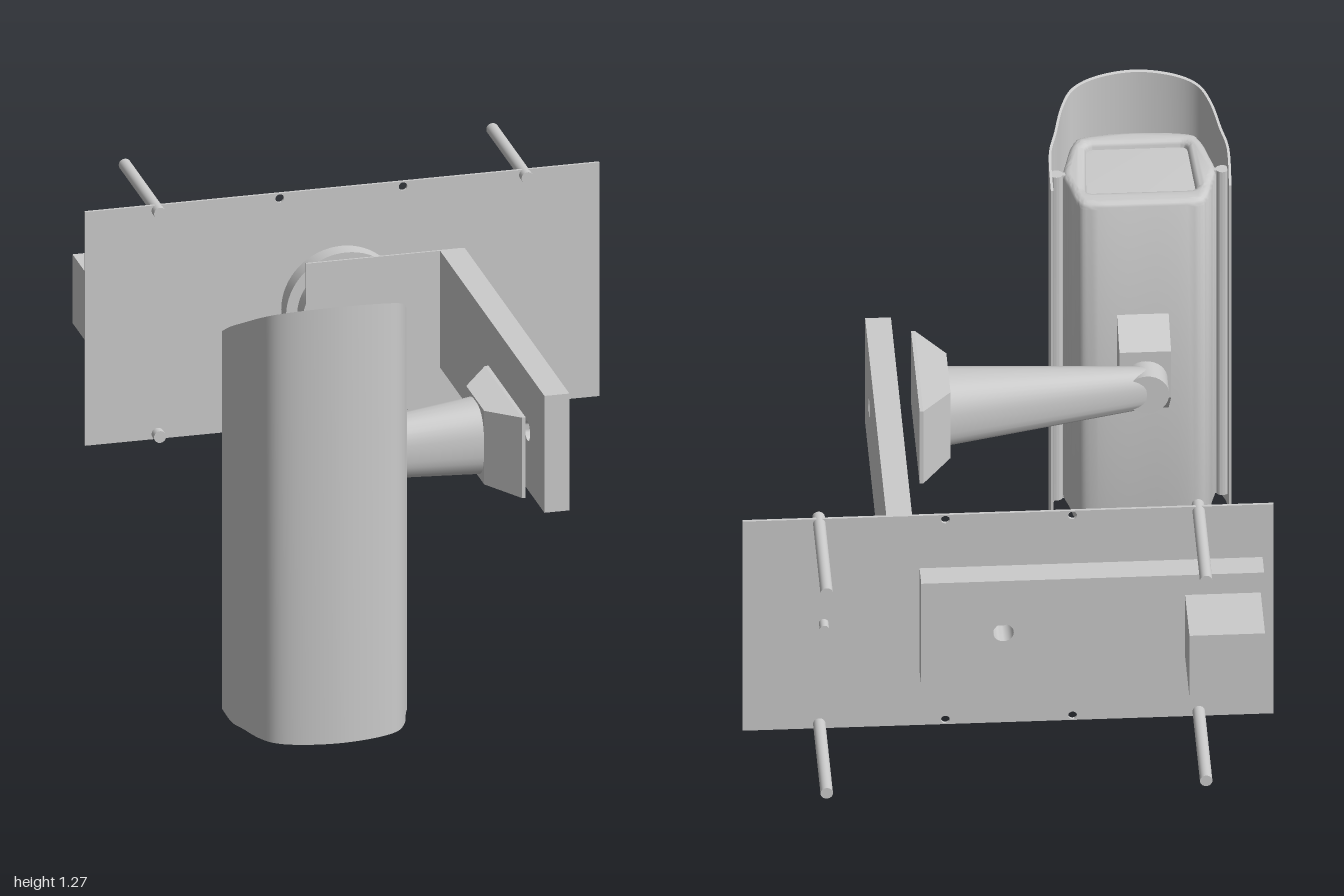
import * as THREE from 'three';
import { toCreasedNormals } from 'three/addons/utils/BufferGeometryUtils.js';

const material = new THREE.MeshStandardMaterial({ color: 0xcccccc, side: THREE.DoubleSide });
const MID_Y = 0.607; // height of the arm axis
const CAM_X = -0.44; // centre line of the camera housing

export function createModel() {
  const model = new THREE.Group();

  const add = (name, geometry, x = 0, y = 0, z = 0) => {
    const mesh = new THREE.Mesh(geometry, material);
    mesh.name = name;
    mesh.position.set(x, y, z);
    model.add(mesh);
    return mesh;
  };
  const smooth = (geometry, angle = 0.6) => toCreasedNormals(geometry, angle);
  const rod = (r, length) => new THREE.CylinderGeometry(r, r, length, 32).rotateX(Math.PI / 2);

  const circlePath = (x, y, r) => new THREE.Path().absarc(x, y, r, 0, Math.PI * 2, true);

  // Flat panel facing z, centred, with round holes [x, y, r]
  const panel = (w, h, d, holes = []) => {
    const shape = new THREE.Shape([
      new THREE.Vector2(-w / 2, -h / 2), new THREE.Vector2(w / 2, -h / 2),
      new THREE.Vector2(w / 2, h / 2), new THREE.Vector2(-w / 2, h / 2),
    ]);
    for (const [x, y, r] of holes) shape.holes.push(circlePath(x, y, r));
    const g = new THREE.ExtrudeGeometry(shape, { depth: d, bevelEnabled: false });
    return smooth(g.translate(0, 0, -d / 2));
  };

  // Disc facing z with a central bore
  const ring = (r, bore, d) => {
    const shape = new THREE.Shape().absarc(0, 0, r, 0, Math.PI * 2, false);
    shape.holes.push(circlePath(0, 0, bore));
    const g = new THREE.ExtrudeGeometry(shape, { depth: d, bevelEnabled: false, curveSegments: 32 });
    return smooth(g.translate(0, 0, -d / 2));
  };

  // Solid through rings of equal length, counter-clockwise about the direction of travel
  const loft = (rings, angle) => {
    const n = rings[0].length;
    const pos = [];
    const tri = (...pts) => pts.forEach((p) => pos.push(...p));
    for (let i = 0; i < rings.length - 1; i++) {
      for (let j = 0; j < n; j++) {
        const k = (j + 1) % n;
        tri(rings[i][j], rings[i][k], rings[i + 1][k]);
        tri(rings[i][j], rings[i + 1][k], rings[i + 1][j]);
      }
    }
    const first = rings[0], last = rings[rings.length - 1];
    for (let j = 1; j < n - 1; j++) {
      tri(first[0], first[j + 1], first[j]);
      tri(last[0], last[j], last[j + 1]);
    }
    const g = new THREE.BufferGeometry();
    g.setAttribute('position', new THREE.Float32BufferAttribute(pos, 3));
    g.computeVertexNormals();
    return smooth(g, angle);
  };

  // Wall plate with four screw holes, four anchor rods and a small stud
  const screwHoles = [];
  for (const x of [-0.175, 0.17]) for (const y of [-0.325, 0.325]) screwHoles.push([x, y, 0.012]);
  add('wallPlate', panel(1.44, 0.68, 0.008, screwHoles), 0, 0.605, -0.655);
  for (const x of [-0.517, 0.512]) {
    for (const y of [0.28, 0.93]) add('anchorRod', rod(0.017, 0.375), x, y, -0.8125);
  }
  add('stud', rod(0.013, 0.035), 0.5, MID_Y, -0.675);

  // Back box and motor block behind the plate
  add('backBox', panel(0.93, 0.335, 0.076, [[0.242, 0, 0.028]]), -0.225, MID_Y, -0.697);
  add('motorBlock', new THREE.BoxGeometry(0.205, 0.2, 0.2), -0.578, 0.61, -0.835);

  // Stepped hub and mounting tab
  add('hubBase', ring(0.168, 0.028, 0.055), -0.003, MID_Y, -0.6275);
  add('hubCap', ring(0.137, 0.028, 0.055), -0.003, MID_Y, -0.5725);
  add('hubTab', panel(0.44, 0.34, 0.006, [[-0.09, 0, 0.028]]), 0.09, MID_Y, -0.545);

  // Long arm reaching forward, with a cable hole through its side
  const bar = panel(1.11, 0.34, 0.07, [[-0.375, 0, 0.028]]).rotateY(Math.PI / 2);
  add('mainArm', bar, 0.28, MID_Y, 0.01);

  // Flared foot of the side arm
  const foot = [[0.1, 0.107, 0.285, 0.475], [0.18, 0.117, 0.18, 0.575], [0.19, 0.117, 0.18, 0.575]];
  add('sideArmFoot', loft(foot.map(([x, h, z0, z1]) => [
    [x, MID_Y - h, z0], [x, MID_Y + h, z0], [x, MID_Y + h, z1], [x, MID_Y - h, z1],
  ]), 0.1));

  // Tapered, rounded side arm ending in a knuckle
  const armSections = [[CAM_X, 0.06, 0.4, 0.475], [0.1, 0.101, 0.285, 0.475], [0.15, 0.105, 0.275, 0.475]];
  const squash = (v) => Math.sign(v) * Math.abs(v) ** 0.75;
  add('sideArm', loft(armSections.map(([x, h, z0, z1]) => {
    const section = [];
    for (let i = 0; i < 32; i++) {
      const a = (i / 32) * Math.PI * 2;
      section.push([x, MID_Y + h * squash(Math.cos(a)), (z0 + z1) / 2 + (z1 - z0) / 2 * squash(Math.sin(a))]);
    }
    return section;
  }), 0.6));
  add('knuckle', rod(0.06, 0.075), CAM_X, MID_Y, 0.4375);
  add('knucklePin', rod(0.04, 0.03), CAM_X, MID_Y, 0.48);

  // Wedge bracket joining the knuckle to the housing
  const wedge = [[0.485, 0.54, 0.69], [0.61, 0.42, 0.745]];
  add('housingBracket', loft(wedge.map(([z, y0, y1]) => [
    [CAM_X - 0.07, y0, z], [CAM_X + 0.07, y0, z], [CAM_X + 0.07, y1, z], [CAM_X - 0.07, y1, z],
  ]), 0.1));

  // Outlines in (x, z), mirrored about the centre line
  const v2 = ([x, z]) => new THREE.Vector2(x, z);
  const mirrored = (half) => [...half, ...half.slice(0, -1).reverse().map(([x, z]) => [-x, z])];

  // Camera housing: rounded tube with a recessed window
  const bodyHalf = [[0, 0.597], [0.14, 0.6], [0.178, 0.63], [0.195, 0.7], [0.208, 0.76],
    [0.195, 0.83], [0.175, 0.905], [0.14, 0.94], [0, 0.955]];
  const bodyLoop = mirrored(bodyHalf).slice(0, -1).map(v2);
  const bodyShape = new THREE.Shape(new THREE.SplineCurve([...bodyLoop, bodyLoop[0]]).getPoints(96).slice(0, -1));
  const windowPath = () => {
    const s = new THREE.Shape();
    s.moveTo(-0.13, 0.665).lineTo(0.13, 0.665);
    s.quadraticCurveTo(0.148, 0.665, 0.148, 0.685).lineTo(0.138, 0.875);
    s.quadraticCurveTo(0.135, 0.895, 0.115, 0.895).lineTo(-0.115, 0.895);
    s.quadraticCurveTo(-0.135, 0.895, -0.138, 0.875).lineTo(-0.148, 0.685);
    s.quadraticCurveTo(-0.148, 0.665, -0.13, 0.665);
    return s;
  };
  bodyShape.holes.push(windowPath());
  const body = new THREE.ExtrudeGeometry(bodyShape, {
    depth: 1.02, bevelThickness: 0.02, bevelSize: 0.02, bevelOffset: -0.02, bevelSegments: 4,
  }).rotateX(Math.PI / 2);
  add('housing', smooth(body), CAM_X, 1.08, 0);
  const pane = () => new THREE.ExtrudeGeometry(windowPath(), { depth: 0.02, bevelEnabled: true,
    bevelThickness: 0.001, bevelSize: 0.015, bevelSegments: 1 }).rotateX(Math.PI / 2);
  add('windowPane', smooth(pane()), CAM_X, 1.078, 0);
  add('bottomCap', smooth(pane()), CAM_X, 0.063, 0);

  // Wraparound sunshield, its top sloping up to the front
  const shieldHalf = [[0.245, 0.67], [0.245, 0.77], [0.227, 0.83], [0.205, 0.9],
    [0.17, 0.952], [0.1, 0.983], [0, 0.996]];
  const curve = new THREE.SplineCurve(mirrored(shieldHalf).map(v2));
  const outer = [], inner = [];
  for (let i = 0; i <= 72; i++) {
    const p = curve.getPoint(i / 72), t = curve.getTangent(i / 72);
    outer.push(p);
    inner.unshift(new THREE.Vector2(p.x - t.y * 0.007, p.y + t.x * 0.007));
  }
  const shield = new THREE.ExtrudeGeometry(new THREE.Shape([...outer, ...inner]), { depth: 1, bevelEnabled: false })
    .rotateX(Math.PI / 2).translate(0, 1, 0);
  const p = shield.attributes.position;
  for (let i = 0; i < p.count; i++) {
    if (p.getY(i) > 0.5) p.setY(i, 1.1 + 0.52 * (p.getZ(i) - 0.67));
  }
  shield.computeVertexNormals();
  add('sunshield', smooth(shield), CAM_X, 0, 0);

  // Rails holding the shield to both sides of the housing
  for (const s of [-1, 1]) {
    add('shieldRail', new THREE.BoxGeometry(0.045, 1.05, 0.014), CAM_X + s * 0.22, 0.57, 0.76);
    add('shieldRailEdge', smooth(new THREE.CylinderGeometry(0.018, 0.018, 1.05, 16)), CAM_X + s * 0.225, 0.57, 0.76);
  }
  return model;
}
